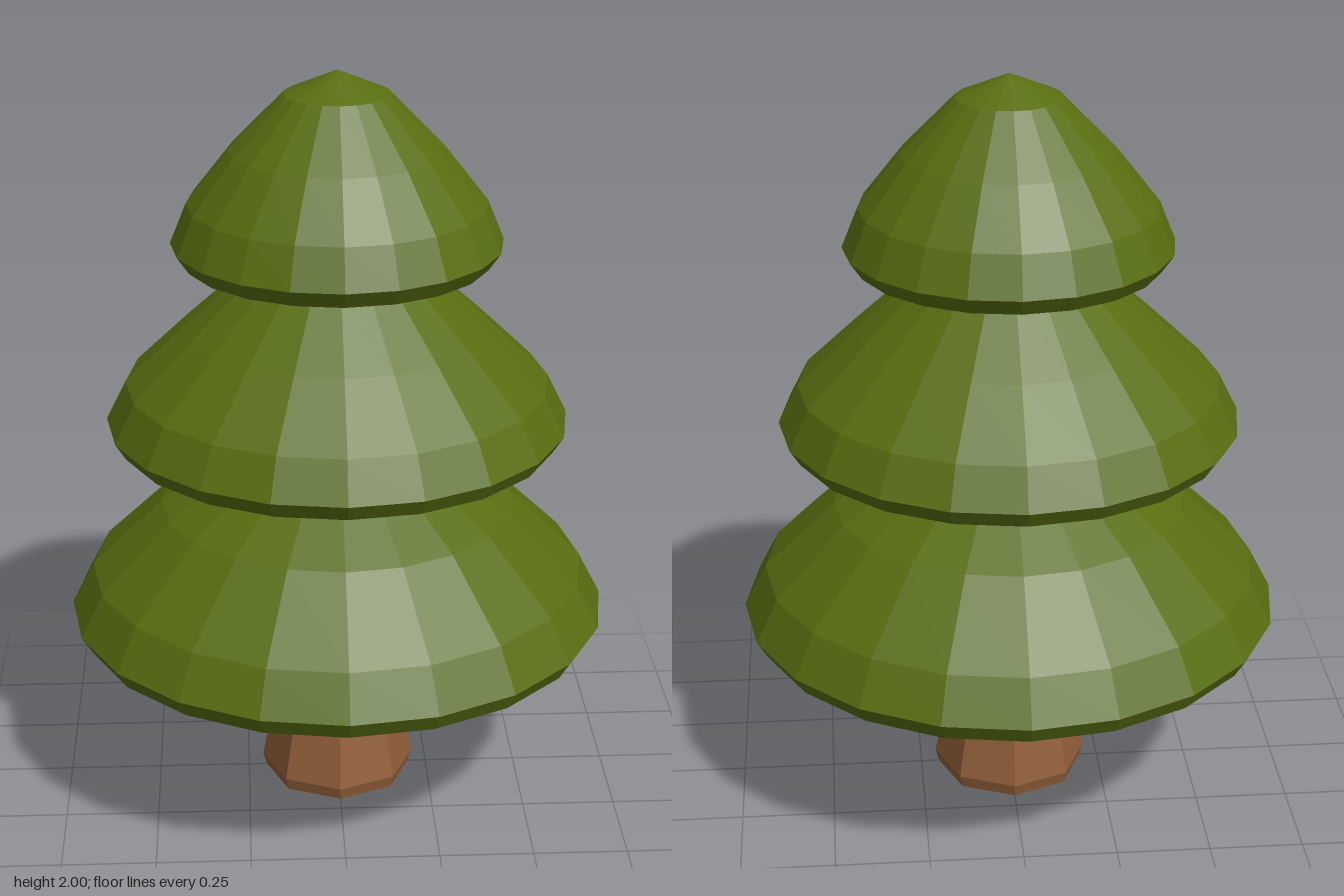
import * as THREE from 'three';

const foliageGreen = new THREE.MeshStandardMaterial({ color: 0x586e10 });
const barkBrown = new THREE.MeshStandardMaterial({ color: 0x925f39 });
foliageGreen.flatShading = true;
barkBrown.flatShading = true;

// Faceted solid of revolution; the profile runs from the bottom to the top as [radius, y].
function turned(name, profile, sides, material) {
  const points = profile.map(([r, y]) => new THREE.Vector2(r, y));
  const mesh = new THREE.Mesh(new THREE.LatheGeometry(points, sides), material);
  mesh.name = name;
  return mesh;
}

export function createModel() {
  const tree = new THREE.Group();
  tree.name = 'tree';

  // Tapered eight-sided trunk with a chamfered foot
  tree.add(turned('trunk', [
    [0, 0], [0.2, 0], [0.21, 0.035], [0.128, 0.44], [0.116, 0.5], [0, 0.5],
  ], 8, barkBrown));

  // Three domed foliage tiers, each tucked into the one above
  const tiers = {
    lowerFoliage: [
      [0, 0.44], [0.18, 0.441], [0.46, 0.455], [0.695, 0.475], [0.725, 0.525],
      [0.665, 0.64], [0.475, 0.825], [0.24, 0.975], [0, 1.06],
    ],
    middleFoliage: [
      [0, 0.972], [0.25, 0.975], [0.585, 1.02], [0.613, 1.065],
      [0.56, 1.17], [0.405, 1.32], [0.235, 1.475], [0, 1.57],
    ],
    upperFoliage: [
      [0, 1.474], [0.21, 1.477], [0.402, 1.505], [0.433, 1.55],
      [0.39, 1.655], [0.28, 1.795], [0.138, 1.94], [0, 2],
    ],
  };
  for (const [name, profile] of Object.entries(tiers)) {
    tree.add(turned(name, profile, 20, foliageGreen));
  }
  return tree;
}
